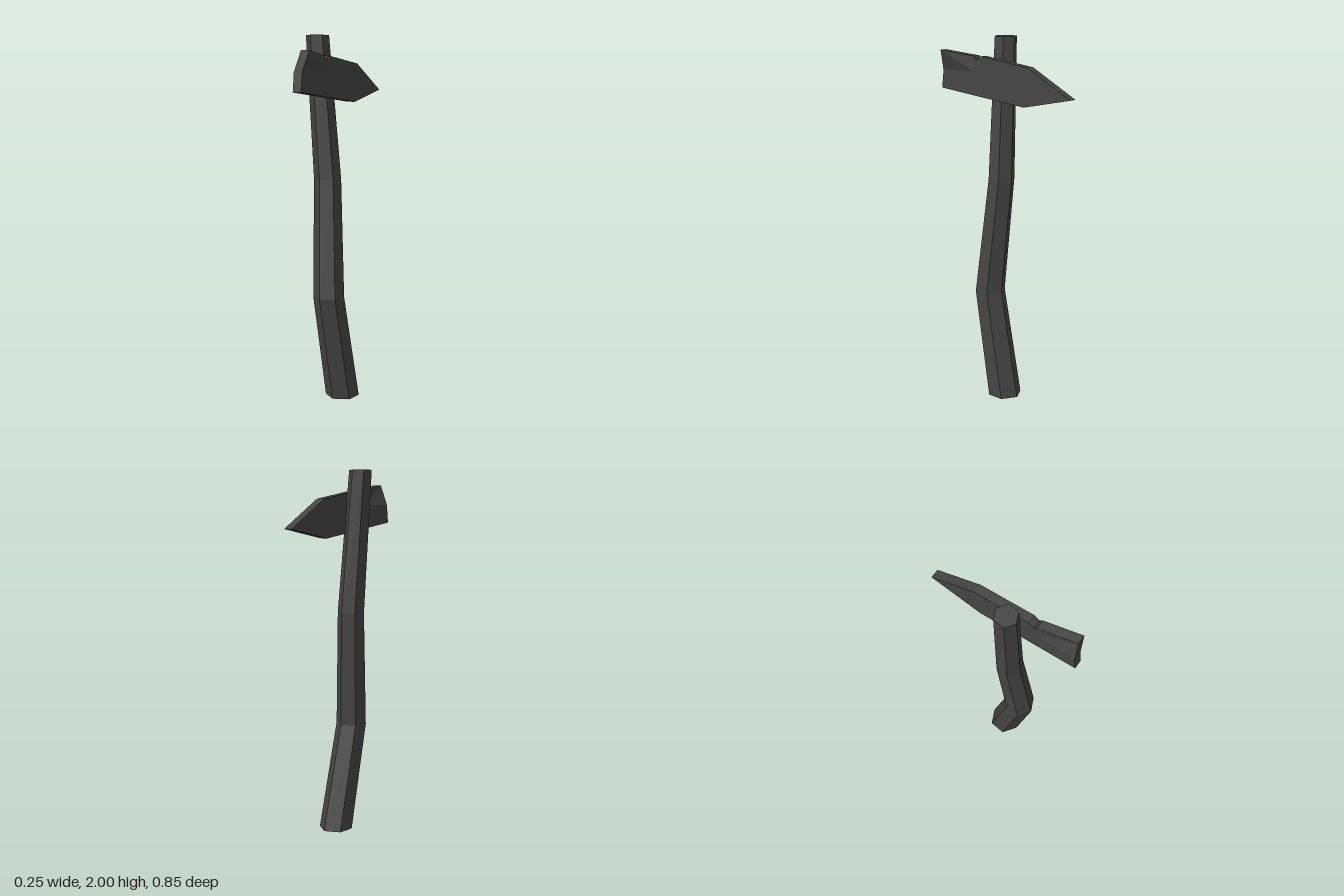
import * as THREE from 'three';

const material = new THREE.MeshStandardMaterial({ color: 0x444444, flatShading: true });

// Bent six-sided post, tapering upward: each ring is [x, y, z, radius]
function makePost() {
  const rings = [
    [0.045, 0, -0.002, 0.093],
    [0.025, 0.59, 0.115, 0.085],
    [-0.012, 1.23, 0.062, 0.074],
    [-0.067, 2, 0.073, 0.062],
  ];
  const geo = new THREE.CylinderGeometry(1, 1, 3, 6, 3);
  geo.rotateY(THREE.MathUtils.degToRad(-6));
  const p = geo.attributes.position;
  for (let i = 0; i < p.count; i++) {
    const [x, y, z, r] = rings[Math.round(p.getY(i) + 1.5)];
    p.setXYZ(i, x + p.getX(i) * r, y, z + p.getZ(i) * r);
  }
  geo.computeVertexNormals();
  const mesh = new THREE.Mesh(geo, material);
  mesh.name = 'post';
  return mesh;
}

// Arrow board with a chipped top edge and its upper tail corner bent outward
function makeBoard() {
  // outline as [z, y, outward bend]
  const outline = [
    [0.405, 1.92, 0.036], [0.416, 1.81, 0], [0.427, 1.71, 0],
    [-0.13, 1.64, 0], [-0.42, 1.697, 0], [-0.155, 1.848, 0],
    [0.155, 1.893, 0], [0.185, 1.872, 0], [0.2, 1.893, 0],
  ];
  const hub = [0.2, 1.81, 0]; // where the creases meet
  const back = 0, front = 0.049;
  const pos = [];
  const add = (x, [z, y, bend]) => pos.push(x + bend, y, z);
  outline.forEach((a, i) => {
    const b = outline[(i + 1) % outline.length];
    // outer face
    add(front, hub); add(front, a); add(front, b);
    // inner face
    add(back, hub); add(back, b); add(back, a);
    // rim
    add(front, a); add(back, a); add(back, b);
    add(front, a); add(back, b); add(front, b);
  });
  const geo = new THREE.BufferGeometry();
  geo.setAttribute('position', new THREE.Float32BufferAttribute(pos, 3));
  geo.computeVertexNormals();
  const mesh = new THREE.Mesh(geo, material);
  mesh.name = 'arrowBoard';
  return mesh;
}

export function createModel() {
  const group = new THREE.Group();
  group.name = 'signpost';
  group.add(makePost(), makeBoard());
  return group;
}
